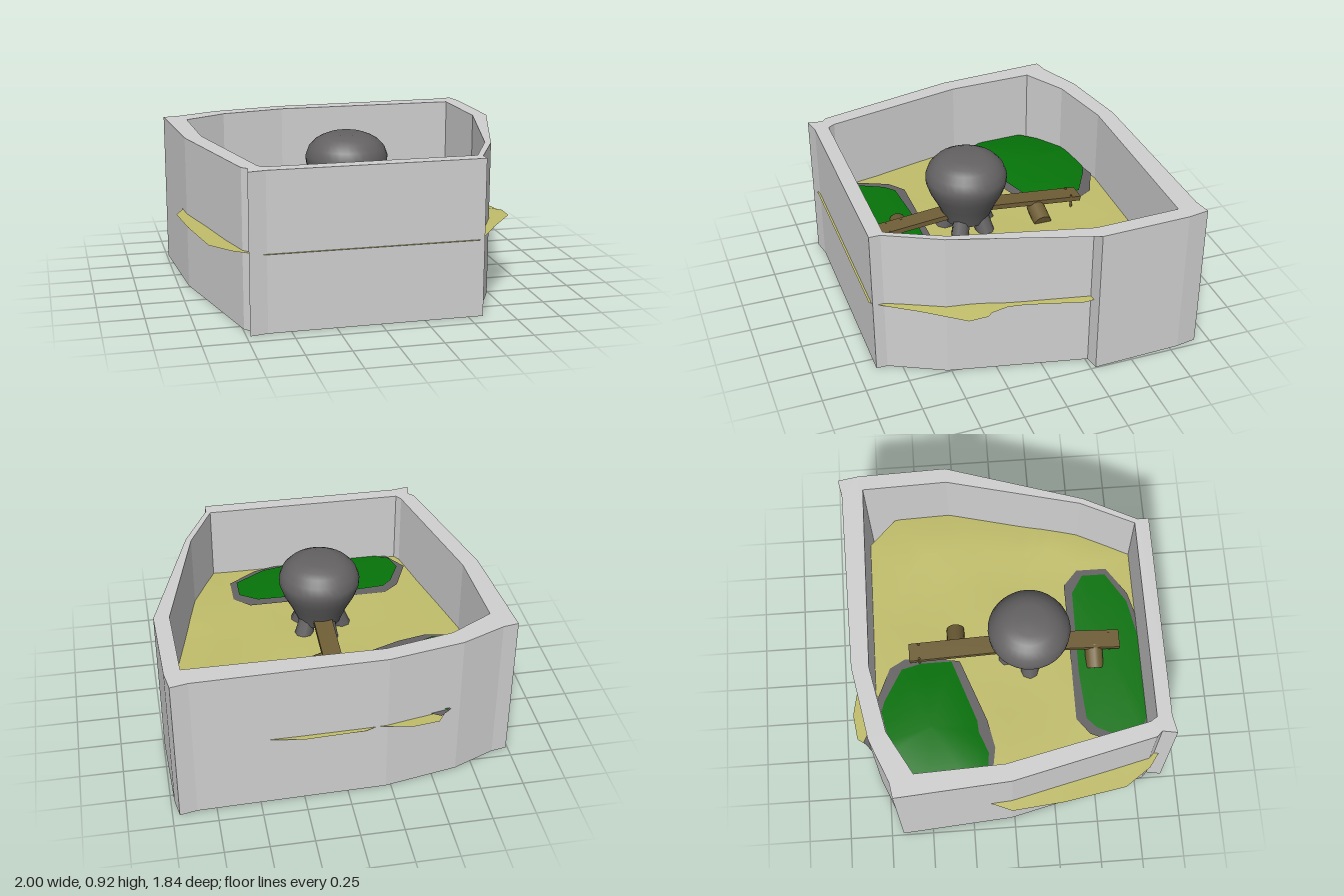
import * as THREE from 'three';

const mat = (name, color, side = THREE.FrontSide) => {
  const m = new THREE.MeshStandardMaterial({ color, side });
  m.name = name;
  return m;
};

// Outlines as [x, z] points
const OUTER = [[-0.99, -0.68], [-0.9, -0.695], [-0.65, -0.8], [-0.22, -0.88], [0.86, -0.9], [0.96, -0.92],
  [0.98, -0.8], [0.995, -0.28], [0.912, -0.265], [0.74, 0.52], [0.585, 0.83], [0.585, 0.895], [-0.63, 0.895],
  [-0.73, 0.915], [-0.715, 0.83], [-0.745, 0.8], [-0.94, -0.02]];
const INNER = [[-0.86, -0.56], [-0.61, -0.7], [-0.22, -0.78], [0.89, -0.775], [0.905, -0.28], [0.71, 0.5],
  [0.56, 0.81], [-0.63, 0.81], [-0.655, 0.77], [-0.84, -0.05]];
const SAND = [[-0.84, -0.6], [-0.58, -0.8], [-0.51, -0.9], [-0.36, -0.92], [-0.16, -0.88], [-0.09, -0.905],
  [0.25, -0.92], [0.43, -0.895], [0.73, -0.78], [0.89, -0.62], [0.93, -0.4], [0.95, -0.22], [0.86, 0.1],
  [0.845, 0.2], [0.865, 0.3], [0.89, 0.33], [0.89, 0.44], [0.72, 0.67], [0.62, 0.82], [0.55, 0.907],
  [-0.65, 0.907], [-0.8, 0.8], [-0.905, 0.65], [-0.97, 0.29], [-1, -0.02], [-0.95, -0.14], [-0.9, -0.35]];
const BACK_RIM = [[-0.88, -0.5], [-0.66, -0.76], [-0.53, -0.865], [-0.45, -0.82], [-0.29, -0.78], [-0.085, -0.69],
  [-0.035, -0.6], [-0.03, -0.45], [-0.07, -0.27], [-0.45, -0.13], [-0.62, -0.095], [-0.77, -0.12], [-0.86, -0.18]];
const BACK_GREEN = [[-0.87, -0.5], [-0.64, -0.76], [-0.575, -0.825], [-0.4, -0.765], [-0.29, -0.73], [-0.1, -0.62],
  [-0.07, -0.5], [-0.07, -0.32], [-0.45, -0.19], [-0.52, -0.185], [-0.65, -0.135], [-0.8, -0.15], [-0.86, -0.24]];
const FRONT_RIM = [[-0.665, 0.67], [-0.575, 0.47], [-0.48, 0.395], [0.375, 0.395], [0.47, 0.48], [0.47, 0.66],
  [0.3, 0.775], [0.16, 0.812], [-0.57, 0.812]];
const FRONT_GREEN = [[-0.615, 0.66], [-0.54, 0.51], [-0.48, 0.455], [-0.2, 0.435], [0.32, 0.44], [0.43, 0.51],
  [0.43, 0.65], [0.245, 0.765], [0.03, 0.808], [-0.5, 0.808], [-0.585, 0.77]];

const toVectors = (pts) => pts.map(([x, z]) => new THREE.Vector2(x, -z));

// Prism standing on y = 0; a hole runs the opposite way round
function prism(outline, height, hole) {
  const shape = new THREE.Shape(toVectors(outline));
  if (hole) shape.holes.push(new THREE.Path(toVectors(hole).reverse()));
  return new THREE.ExtrudeGeometry(shape, { depth: height, bevelEnabled: false }).rotateX(-Math.PI / 2);
}

// Uneven sheet made of rings shrinking towards a centre; height(x, z, t), t = 1 at the rim
function sheet(outline, [cx, cz], rings, height) {
  const n = outline.length, pos = [], index = [];
  for (let r = 0; r <= rings; r++) {
    const t = 1 - r / rings;
    for (const [px, pz] of outline) {
      const x = cx + (px - cx) * t, z = cz + (pz - cz) * t;
      pos.push(x, height(x, z, t), z);
    }
  }
  for (let r = 0; r < rings; r++) {
    for (let i = 0; i < n; i++) {
      const a = r * n + i, b = r * n + (i + 1) % n;
      index.push(a, a + n, b);
      if (r < rings - 1) index.push(b, a + n, b + n);
    }
  }
  const g = new THREE.BufferGeometry();
  g.setAttribute('position', new THREE.Float32BufferAttribute(pos, 3));
  g.setIndex(index);
  g.computeVertexNormals();
  return g;
}

// Gentle ripples, with a slight droop at the outer edge on the +x side
function groundHeight(x, z, t) {
  const droop = t < 1 ? 0.014 * THREE.MathUtils.smoothstep(x, 0.45, 0.65) : 0;
  return 0.446 + droop + 0.005 * Math.sin(7 * x + 2 * z) * Math.cos(6 * z);
}

export function createModel() {
  const root = new THREE.Group();
  const wallGrey = mat('wallGrey', 0xd0d0d0);
  const sand = mat('sand', 0xc1be6b, THREE.DoubleSide);
  const grass = mat('grassGreen', 0x067409, THREE.DoubleSide);
  const stone = mat('darkStone', 0x646262, THREE.DoubleSide);
  const wood = mat('wood', 0x6f5e36);

  const add = (name, geometry, material, parent = root) => {
    const m = new THREE.Mesh(geometry, material);
    m.name = name;
    parent.add(m);
    return m;
  };

  // Enclosure
  add('wall', prism(OUTER, 0.9, INNER), wallGrey);
  add('floor', prism(INNER, 0.02), wallGrey);
  const ledge = new THREE.Shape(toVectors([[0.74, 0.52], [0.995, -0.28], [0.912, -0.265]]));
  add('rimLedge', new THREE.ShapeGeometry(ledge).rotateX(-Math.PI / 2).translate(0, 0.9, 0), wallGrey);

  // Ground and planted beds
  add('ground', sheet(SAND, [0, 0], 7, groundHeight), sand);
  const beds = [
    ['back', BACK_RIM, BACK_GREEN, [-0.48, -0.46], 0.035],
    ['front', FRONT_RIM, FRONT_GREEN, [-0.08, 0.62], 0.01],
  ];
  for (const [name, rim, green, centre, rise] of beds) {
    add(name + 'BedBorder', sheet(rim, centre, 1, () => 0.456), stone);
    add(name + 'BedGrass', sheet(green, centre, 5,
      (x, z, t) => 0.464 + rise * (1 - t * t)), grass);
  }

  // Domed centrepiece on splayed feet
  const dome = new THREE.Group();
  dome.name = 'centrepiece';
  dome.position.set(-0.015, 0, 0.145);
  root.add(dome);
  const profile = [[0.13, 0.5], [0.145, 0.54], [0.175, 0.61], [0.217, 0.69], [0.238, 0.75], [0.24, 0.79],
    [0.222, 0.84], [0.185, 0.88], [0.15, 0.9], [0.098, 0.92], [0, 0.92]];
  add('dome', new THREE.LatheGeometry(profile.map(([r, y]) => new THREE.Vector2(r, y)), 32), stone, dome);
  for (let i = 0; i < 5; i++) {
    const foot = new THREE.CylinderGeometry(0.05, 0.055, 0.14, 8);
    foot.rotateZ(0.35).translate(0.115, 0.49, 0).rotateY((i + 0.5) * Math.PI * 2 / 5);
    add('foot', foot, stone, dome);
  }

  // Two planks sloping away from the centrepiece, each with a round side prop
  const beams = [
    ['back', -0.57, -1, 1, -0.285],
    ['front', 0.69, 1, -1, 0.535],
  ];
  for (const [name, endZ, dir, side, propZ] of beams) {
    const length = Math.abs(endZ - 0.145);
    const plank = add(name + 'Plank', new THREE.BoxGeometry(0.11, 0.03, length), wood);
    plank.position.set(-0.013, 0.535, (endZ + 0.145) / 2);
    plank.rotation.x = dir * 0.1;
    const prop = add(name + 'Prop', new THREE.CylinderGeometry(0.053, 0.053, 0.14, 16), wood);
    prop.position.set(-0.013 + side * 0.085, 0.468, propZ);
    prop.rotation.z = side * 1.25;
    for (const s of [-1, 1]) {
      const peg = add('peg', new THREE.CylinderGeometry(0.008, 0.008, 0.1, 6), wood);
      peg.position.set(-0.013 + s * 0.045, 0.48, endZ - dir * 0.06);
    }
  }
  return root;
}
